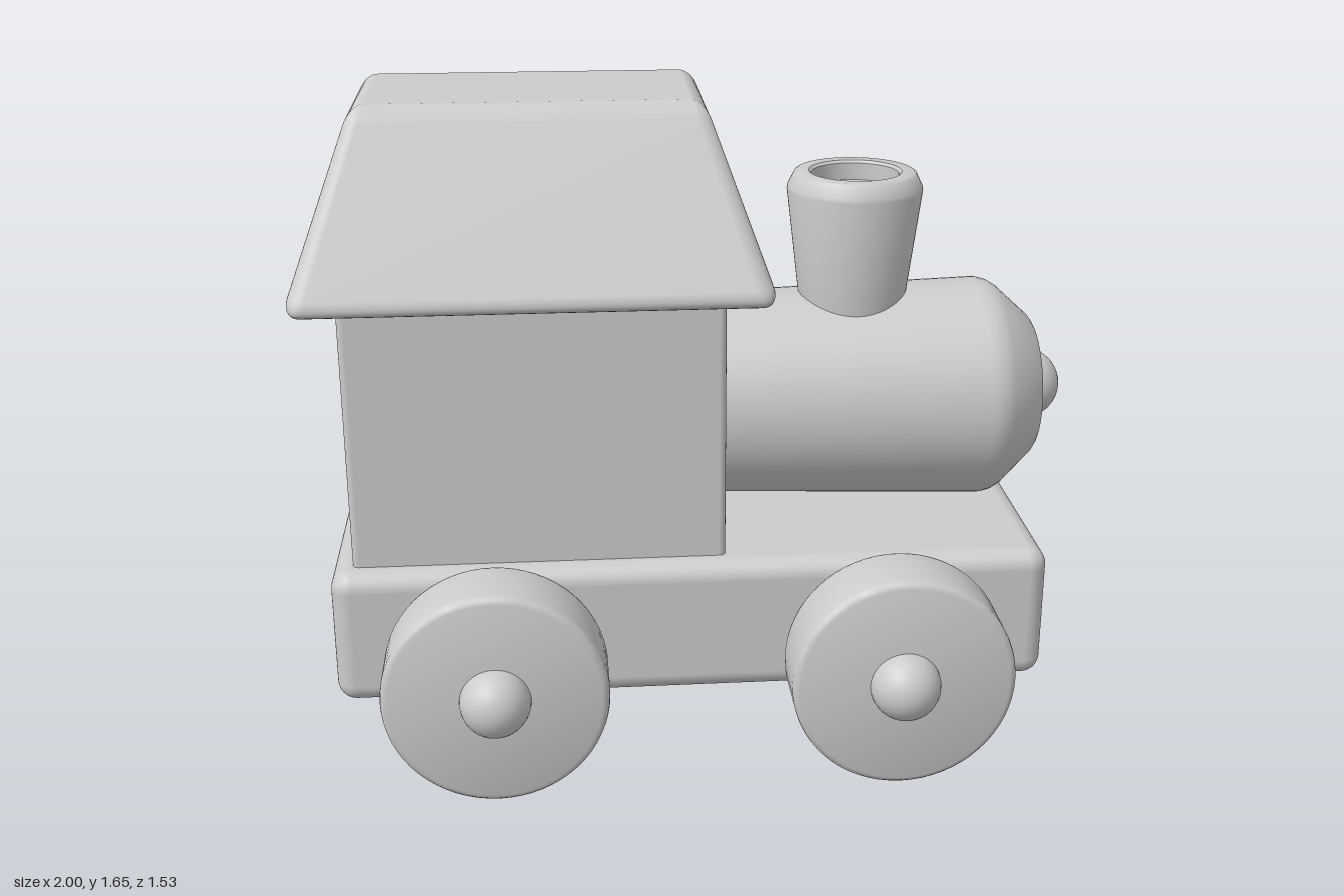
import * as THREE from 'three';
import { RoundedBoxGeometry } from 'three/addons/geometries/RoundedBoxGeometry.js';
import { mergeVertices, toCreasedNormals } from 'three/addons/utils/BufferGeometryUtils.js';

const material = new THREE.MeshStandardMaterial({ color: 0xcccccc });

function add(parent, name, geometry, x, y, z) {
  const mesh = new THREE.Mesh(geometry, material);
  mesh.name = name;
  mesh.position.set(x, y, z);
  parent.add(mesh);
  return mesh;
}

// Turned part: [radius, height] points, listed from the bottom up
function turned(points, segments = 64) {
  const profile = points.map(([r, h]) => new THREE.Vector2(r, h));
  return toCreasedNormals(new THREE.LatheGeometry(profile, segments), 0.6);
}

// Rounded box whose top is narrowed in x and z
function taperedBox(w, h, d, radius, topX, topZ) {
  const box = new RoundedBoxGeometry(w, h, d, 4, radius);
  const pos = box.attributes.position;
  for (let i = 0; i < pos.count; i++) {
    const t = pos.getY(i) / h + 0.5;
    pos.setX(i, pos.getX(i) * (1 + (topX - 1) * t));
    pos.setZ(i, pos.getZ(i) * (1 + (topZ - 1) * t));
  }
  box.deleteAttribute('normal');
  box.deleteAttribute('uv');
  const merged = mergeVertices(box, 1e-4);
  merged.computeVertexNormals();
  return merged;
}

export function createModel() {
  const train = new THREE.Group();
  train.name = 'toyTrain';

  // Body blocks
  add(train, 'chassis', new RoundedBoxGeometry(1.83, 0.36, 0.91, 5, 0.05), -0.035, 0.34, 0);
  add(train, 'cabin', new RoundedBoxGeometry(0.945, 0.72, 0.8, 3, 0.018), -0.4225, 0.86, 0);
  add(train, 'roof', taperedBox(1.19, 0.46, 0.985, 0.045, 0.72, 0.46), -0.42, 1.425, 0);

  // Boiler, widening slightly towards its bevelled front
  const boiler = add(train, 'boiler', turned([
    [0, 0], [0.27, 0], [0.294, 0.72], [0.294, 0.74], [0.287, 0.765], [0.275, 0.785],
    [0.195, 0.872], [0.18, 0.882], [0.16, 0.886], [0, 0.886],
  ]), 0.03, 0.82, 0);
  boiler.rotation.z = -Math.PI / 2;
  add(train, 'nose', new THREE.SphereGeometry(0.096, 32, 20), 0.904, 0.82, 0);

  // Flared chimney with a shallow hollow top
  add(train, 'chimney', turned([
    [0, 0], [0.132, 0], [0.178, 0.375], [0.176, 0.385], [0.16, 0.418], [0.154, 0.422],
    [0.122, 0.422], [0.115, 0.415], [0.115, 0.37], [0, 0.37],
  ]), 0.422, 1.0, 0);

  // Axles, wheels and hub caps
  const wheelGeometry = turned([
    [0, -0.0925], [0.262, -0.0925], [0.272, -0.089], [0.278, -0.082], [0.28, -0.073],
    [0.28, 0.073], [0.278, 0.082], [0.272, 0.089], [0.262, 0.0925], [0, 0.0925],
  ]);
  const axleGeometry = new THREE.CylinderGeometry(0.058, 0.058, 1.1, 32);
  const hubGeometry = new THREE.SphereGeometry(0.088, 32, 20);
  for (const [end, x] of [['rear', -0.54], ['front', 0.47]]) {
    add(train, end + 'Axle', axleGeometry, x, 0.28, 0).rotation.x = Math.PI / 2;
    for (const [side, s] of [['Near', 1], ['Far', -1]]) {
      add(train, end + side + 'Wheel', wheelGeometry, x, 0.28, s * 0.5875).rotation.x = Math.PI / 2;
      add(train, end + side + 'HubCap', hubGeometry, x, 0.28, s * 0.678);
    }
  }
  return train;
}
